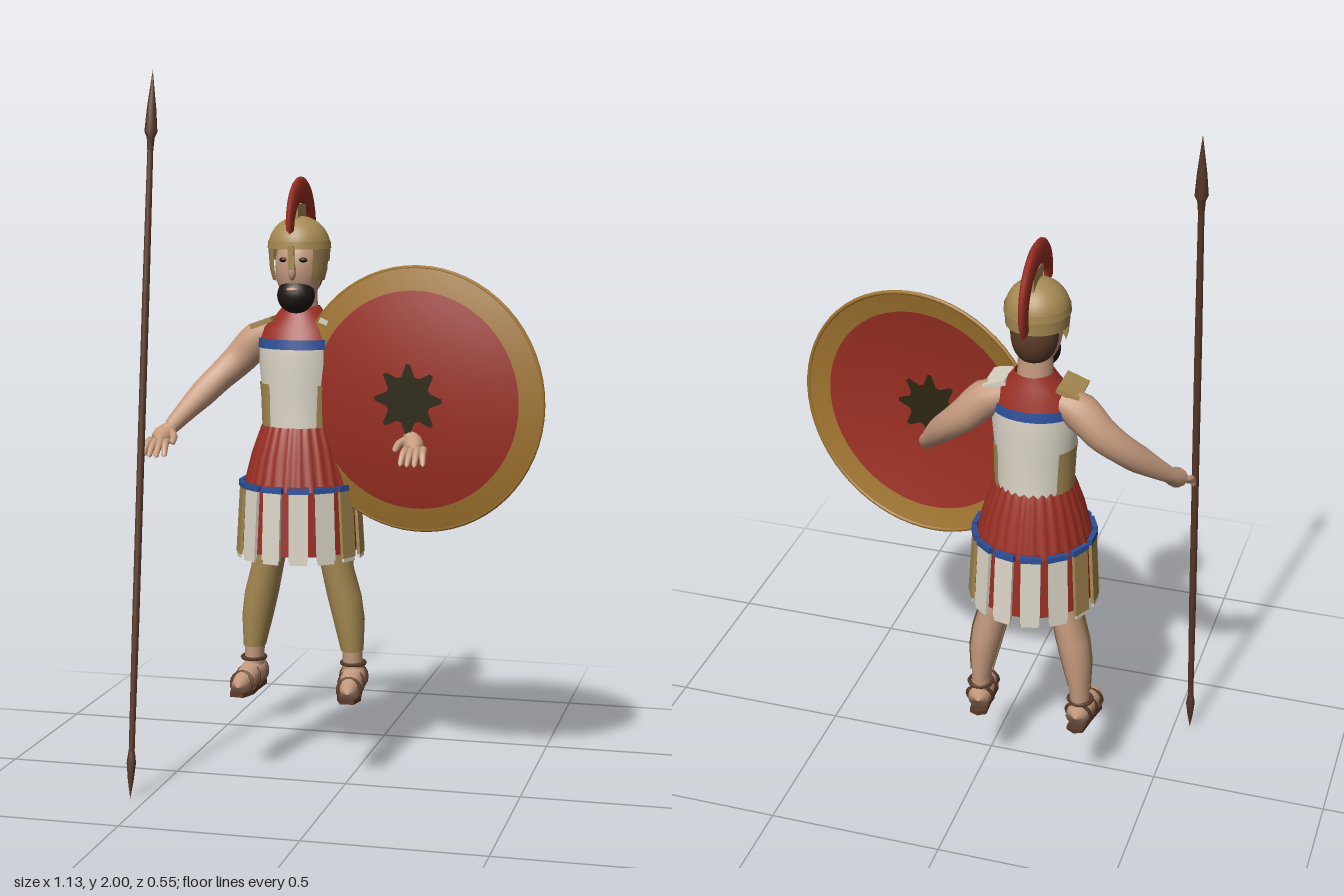
import * as THREE from 'three';

const paint = (name, color) => Object.assign(new THREE.MeshStandardMaterial({ color, side: THREE.DoubleSide }), { name });
const gold = paint('gold', 0xa68a52), rimGold = paint('rim gold', 0xa0742f), red = paint('red', 0x9a2f23);
const skin = paint('skin', 0xc79c80), white = paint('white', 0xd9d3c4), blue = paint('blue', 0x2d4f98);
const brown = paint('brown', 0x5a3a29), black = paint('black', 0x1c1612), olive = paint('dark olive', 0x2c2710);

function add(parent, name, geometry, material, x = 0, y = 0, z = 0) {
  const mesh = new THREE.Mesh(geometry, material);
  mesh.name = name;
  mesh.position.set(x, y, z);
  parent.add(mesh);
  return mesh;
}

// Skin over horizontal ellipses [x, y, z, rx, rz], bottom to top; angle 0 faces the front
function loft(rings, a0 = 0, a1 = Math.PI * 2, seg = 32, lobes = 0, ripple = 0) {
  const full = a1 - a0 > 6.28, n = full ? seg : seg + 1, pos = [], index = [];
  for (const [x, y, z, rx, rz] of rings) {
    for (let j = 0; j < n; j++) {
      const a = a0 + (a1 - a0) * j / seg, k = 1 + ripple * Math.cos(a * lobes);
      pos.push(x + rx * k * Math.sin(a), y, z + rz * k * Math.cos(a));
    }
  }
  for (let i = 0; i < rings.length - 1; i++) {
    for (let j = 0; j < seg; j++) {
      const a = i * n + j, b = i * n + (j + 1) % n;
      index.push(a, b, a + n, b, b + n, a + n);
    }
  }
  const g = new THREE.BufferGeometry();
  g.setAttribute('position', new THREE.Float32BufferAttribute(pos, 3));
  g.setIndex(index);
  g.computeVertexNormals();
  return g;
}

// Tapered tube along a smooth path, pinched shut at both ends
function limb(points, radii, segs = 24, sides = 14) {
  const curve = new THREE.CatmullRomCurve3(points.map(p => new THREE.Vector3(...p)));
  const g = new THREE.TubeGeometry(curve, segs, 1, sides), pos = g.attributes.position, v = new THREE.Vector3();
  for (let i = 0; i <= segs; i++) {
    const c = curve.getPointAt(i / segs), t = i / segs * (radii.length - 1), k = Math.min(Math.floor(t), radii.length - 2);
    const r = i === 0 || i === segs ? 0 : THREE.MathUtils.lerp(radii[k], radii[k + 1], t - k);
    for (let j = 0; j <= sides; j++) {
      const n = i * (sides + 1) + j;
      v.fromBufferAttribute(pos, n).sub(c).multiplyScalar(r).add(c);
      pos.setXYZ(n, v.x, v.y, v.z);
    }
  }
  return g;
}

function ball(parent, name, material, [x, y, z], [rx, ry, rz]) {
  add(parent, name, new THREE.SphereGeometry(1, 24, 16), material, x, y, z).scale.set(rx, ry, rz);
}

function buildHead(body) {
  const Z = -0.09;
  ball(body, 'face', skin, [0, 1.455, -0.085], [0.066, 0.105, 0.072]);
  ball(body, 'hair', brown, [0, 1.45, -0.115], [0.064, 0.085, 0.062]);
  ball(body, 'beard', black, [0, 1.378, -0.052], [0.053, 0.05, 0.047]);
  ball(body, 'lips', skin, [0, 1.397, -0.008], [0.016, 0.006, 0.008]);
  ball(body, 'nose', skin, [0, 1.447, -0.012], [0.011, 0.025, 0.014]);
  add(body, 'neck', new THREE.CylinderGeometry(0.045, 0.05, 0.12, 20), skin, 0, 1.35, -0.105);
  for (const s of [-1, 1]) ball(body, 'eye', black, [s * 0.027, 1.478, -0.024], [0.013, 0.007, 0.008]);
  // helmet with open face, cheek guards and nose guard
  const dome = add(body, 'helmetDome', new THREE.SphereGeometry(0.087, 32, 12, 0, Math.PI * 2, 0, Math.PI / 2), gold, 0, 1.51, Z);
  dome.scale.z = 1.03;
  add(body, 'helmetNape', loft([[0, 1.472, Z, 0.084, 0.087], [0, 1.512, Z, 0.087, 0.09]], 0.75, Math.PI * 2 - 0.75), gold);
  add(body, 'helmetBrow', loft([[0, 1.508, Z, 0.089, 0.092], [0, 1.528, Z, 0.087, 0.09]]), gold);
  for (const s of [-1, 1]) {
    const a = s > 0 ? [0.72, 1.5] : [-1.5, -0.72];
    add(body, 'cheekGuard', loft([[0, 1.42, Z, 0.074, 0.08], [0, 1.45, Z, 0.082, 0.087], [0, 1.515, Z, 0.087, 0.09]], ...a, 10), gold);
  }
  add(body, 'noseGuard', new THREE.BoxGeometry(0.018, 0.065, 0.008), gold, 0, 1.485, 0);
  // crest
  const arc = [], N = 9;
  for (let i = 0; i < N; i++) {
    const a = -0.02 + i / (N - 1) * 3.75, r = 0.112 + 0.012 * i / (N - 1);
    arc.push([0, 1.552 + r * Math.sin(a), -0.1 + r * Math.cos(a)]);
  }
  add(body, 'crest', limb(arc, [0.024, 0.031, 0.036, 0.037, 0.034, 0.03, 0.023], 40), red).scale.x = 0.38;
  add(body, 'crestHolder', new THREE.BoxGeometry(0.01, 0.05, 0.09), gold, 0, 1.605, -0.1);
}

function buildTorso(body) {
  const Z = -0.1;
  add(body, 'cuirass', loft([[0, 1, Z, 0.105, 0.1], [0, 1.1, Z, 0.109, 0.095], [0, 1.19, Z, 0.118, 0.099], [0, 1.25, Z, 0.116, 0.093]]), white);
  add(body, 'chestBand', loft([[0, 1.23, Z, 0.121, 0.1], [0, 1.257, Z, 0.118, 0.096]]), blue);
  add(body, 'tunicYoke', loft([[0, 1.245, -0.102, 0.117, 0.093], [0, 1.285, -0.107, 0.105, 0.078],
    [0, 1.315, -0.11, 0.075, 0.065], [0, 1.345, -0.112, 0.052, 0.054]]), red);
  for (const s of [-1, 1]) {
    const a = s > 0 ? [0.65, 2.3] : [-2.3, -0.65];
    add(body, 'sidePanel', loft([[0, 1.005, Z, 0.109, 0.104], [0, 1.1, Z, 0.113, 0.099], [0, 1.13, Z, 0.116, 0.101]], ...a, 16), gold);
    add(body, 'shoulderGuard', new THREE.BoxGeometry(0.065, 0.014, 0.11), s < 0 ? gold : white, s * 0.1, 1.3, -0.095).rotation.z = -s * 0.35;
  }
}

function buildSkirt(body) {
  const Z = -0.094, count = 14;
  add(body, 'pleatedSkirt', loft([[0, 0.84, Z, 0.157, 0.157], [0, 0.93, Z, 0.135, 0.133], [0, 0.99, Z, 0.114, 0.113],
    [0, 1.012, Z, 0.106, 0.103]], 0, Math.PI * 2, 112, 28, 0.022), red);
  add(body, 'underSkirt', loft([[0, 0.66, Z, 0.166, 0.168], [0, 0.855, Z, 0.155, 0.155]], 0, Math.PI * 2, 56, 14, -0.015), red);
  for (let i = 0; i < count; i++) {
    const a = (i + 0.5) / count * Math.PI * 2, strip = new THREE.Group();
    strip.name = 'skirtFlap';
    strip.rotation.order = 'YXZ';
    strip.rotation.set(-0.06, a, 0);
    strip.position.set(0.17 * Math.sin(a), 0.75, Z + 0.172 * Math.cos(a));
    add(strip, 'flap', new THREE.BoxGeometry(0.054, 0.2, 0.009), Math.abs(Math.sin(a)) > 0.75 ? gold : white);
    add(strip, 'flapTrim', new THREE.BoxGeometry(0.06, 0.016, 0.014), blue, 0, 0.096, 0);
    add(strip, 'flapFringe', new THREE.BoxGeometry(0.048, 0.012, 0.006), white, 0, -0.105, 0);
    body.add(strip);
  }
}

function buildLeg(body, s) {
  const rings = [[0.147, 0.28, -0.118, 0.028, 0.033], [0.145, 0.36, -0.12, 0.028, 0.036], [0.135, 0.45, -0.121, 0.041, 0.048],
    [0.122, 0.52, -0.119, 0.045, 0.051], [0.103, 0.6, -0.115, 0.042, 0.053], [0.092, 0.67, -0.112, 0.047, 0.056],
    [0.075, 0.86, -0.1, 0.06, 0.065]].map(([x, ...r]) => [s * x, ...r]);
  add(body, 'leg', loft(rings, 0, Math.PI * 2, 20), skin);
  const shell = rings.slice(1, 6).map(([x, y, z, a, b]) => [x, y, z, a + 0.004, b + 0.004]);
  add(body, 'greave', loft(shell, -1.75, 1.75, 20), gold);
  // sandalled foot
  const foot = new THREE.Group();
  foot.name = 'foot';
  foot.position.set(s * 0.148, 0.235, -0.12);
  foot.rotation.y = s * 0.1;
  const path = [[0, 0.045, -0.045], [0, 0.05, 0], [0, 0.04, 0.06], [0, 0.026, 0.13]];
  add(foot, 'footSkin', limb(path, [0.028, 0.036, 0.033, 0.029, 0.018]), skin);
  const outline = new THREE.Shape([[-0.024, 0.04], [0, 0.052], [0.024, 0.04], [0.028, -0.03], [0.034, -0.09], [0.02, -0.135], [-0.02, -0.135],
    [-0.034, -0.09], [-0.028, -0.03]].map(p => new THREE.Vector2(...p)));
  add(foot, 'sole', new THREE.ExtrudeGeometry(outline, { depth: 0.013, bevelEnabled: false }).rotateX(-Math.PI / 2), brown);
  for (const [y, z, r] of [[0.038, 0.045, 0.034], [0.032, 0.095, 0.031], [0.045, -0.01, 0.037]])
    add(foot, 'sandalStrap', new THREE.TorusGeometry(r, 0.006, 6, 20), brown, 0, y, z).rotation.x = -0.3;
  add(foot, 'ankleStrap', new THREE.TorusGeometry(0.033, 0.006, 6, 20).rotateX(Math.PI / 2), brown, 0, 0.088, 0);
  body.add(foot);
}

function buildArm(body, s) {
  const m = pts => pts.map(([x, y, z]) => [s * x, y, z]);
  add(body, 'arm', limb(m([[0.06, 1.275, -0.12], [0.13, 1.245, -0.125], [0.19, 1.185, -0.122], [0.25, 1.125, -0.09],
    [0.305, 1.06, -0.03], [0.35, 1.0, 0.035]]), [0.035, 0.052, 0.047, 0.041, 0.038, 0.029, 0.021]), skin);
  add(body, 'palm', limb(m([[0.34, 1.01, 0.02], [0.353, 0.993, 0.045], [0.365, 0.975, 0.078]]), [0.018, 0.025, 0.029, 0.024], 12), skin);
  // four fingers and a thumb
  for (let i = 0; i < 4; i++) {
    const t = i / 3, x = 0.387 - 0.044 * t, tip = 0.396 - 0.062 * t, reach = [0.115, 0.132, 0.133, 0.12][i];
    add(body, 'finger', limb(m([[x, 0.978, 0.062], [(x + tip) / 2, 0.967, 0.095], [tip, 0.935, reach]]), [0.011, 0.01, 0.007], 10, 8), skin);
  }
  add(body, 'thumb', limb(m([[0.345, 1, 0.04], [0.322, 0.99, 0.07], [0.315, 0.972, 0.105]]), [0.013, 0.011, 0.008], 10, 8), skin);
}

function buildShield() {
  const shield = new THREE.Group(), R = 0.365, dome = r => 0.05 * (1 - (r / R) ** 2);
  shield.name = 'shield';
  const disc = (r0, r1, back) => {
    const p = [];
    for (let i = 0; i <= 8; i++) {
      const r = r0 + (r1 - r0) * i / 8;
      p.push(new THREE.Vector2(r, dome(r) - back));
    }
    return new THREE.LatheGeometry(p, 64).rotateX(Math.PI / 2);
  };
  for (const back of [0, 0.008]) {
    add(shield, 'shieldField', disc(0, 0.3, back), red);
    add(shield, 'shieldRim', disc(0.3, R, back), rimGold);
  }
  add(shield, 'shieldEdge', new THREE.TorusGeometry(R - 0.003, 0.006, 8, 64), rimGold, 0, 0, -0.004);
  // eight-pointed star on both faces
  const star = new THREE.Shape();
  for (let i = 0; i < 32; i++) {
    const a = (i - 0.5) / 32 * Math.PI * 2, r = i % 4 < 2 ? 0.098 : 0.066, w = i % 4 < 2 ? (i % 4 ? -0.04 : 0.04) : 0;
    star[i ? 'lineTo' : 'moveTo'](r * Math.cos(a + w), r * Math.sin(a + w));
  }
  for (const z of [0.053, 0.036]) add(shield, 'shieldStar', new THREE.ShapeGeometry(star), olive, -0.005, 0.005, z);
  shield.position.set(0.2, 1.102, -0.004);
  shield.rotation.y = -0.17;
  return shield;
}

function buildSpear() {
  const spear = new THREE.Group(), lathe = pts => new THREE.LatheGeometry(pts.map(p => new THREE.Vector2(...p)), 10);
  spear.name = 'spear';
  add(spear, 'shaft', lathe([[0.008, 0.09], [0.01, 0.5], [0.01, 1.4], [0.008, 1.84]]), brown);
  add(spear, 'spearHead', lathe([[0.008, 1.79], [0.011, 1.83], [0.018, 1.845], [0.013, 1.91], [0, 2.017]]), brown);
  add(spear, 'spearButt', lathe([[0, 0], [0.008, 0.05], [0.013, 0.1], [0.009, 0.13]]), brown);
  spear.position.set(-0.547, 0, 0.272);
  spear.rotation.x = -0.135;
  return spear;
}

export function createModel() {
  const model = new THREE.Group(), body = new THREE.Group();
  model.name = 'spearman';
  body.name = 'body';
  body.position.x = -0.154;
  buildHead(body);
  buildTorso(body);
  buildSkirt(body);
  for (const s of [-1, 1]) {
    buildLeg(body, s);
    buildArm(body, s);
  }
  model.add(body, buildShield(), buildSpear());
  return model;
}
